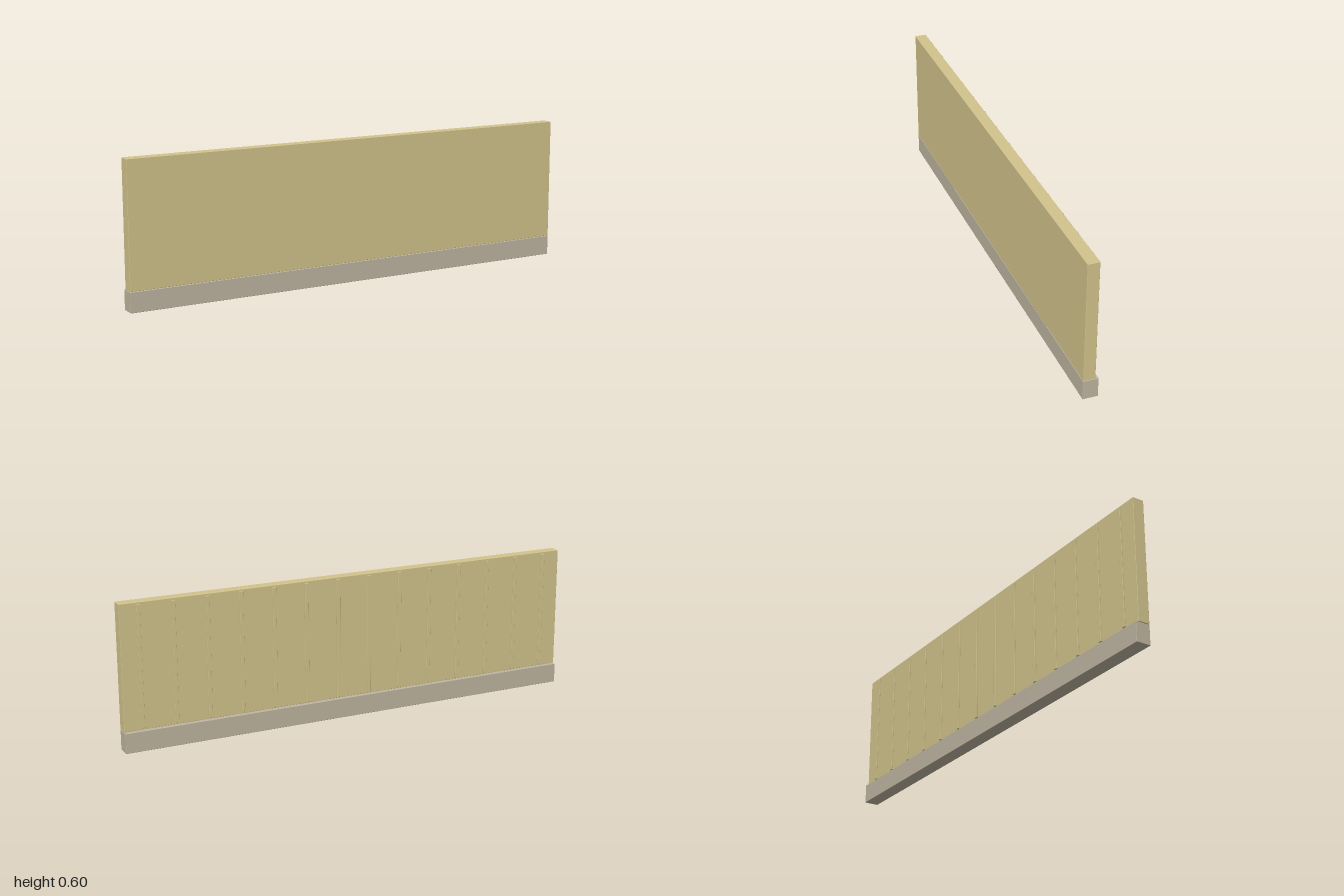
import * as THREE from 'three';
import { RoundedBoxGeometry } from 'three/addons/geometries/RoundedBoxGeometry.js';

const tan = new THREE.MeshStandardMaterial({ color: 0xd2c48c });
const stone = new THREE.MeshStandardMaterial({ color: 0xbfb5a0 });

// Softly edged block given by its limits on each axis
function block(name, [x0, x1], [y0, y1], [z0, z1], radius, material) {
  const geometry = new RoundedBoxGeometry(x1 - x0, y1 - y0, z1 - z0, 2, radius);
  const mesh = new THREE.Mesh(geometry, material);
  mesh.position.set((x0 + x1) / 2, (y0 + y1) / 2, (z0 + z1) / 2);
  mesh.name = name;
  return mesh;
}

export function createModel() {
  const model = new THREE.Group();
  model.name = 'wallPanel';

  // Plinth and the flat panel, flush at the front
  model.add(block('plinth', [-1, 1], [0, 0.083], [-0.031, 0.031], 0.0015, stone));
  model.add(block('panel', [-1, 1], [0.085, 0.6], [-0.018, 0.031], 0.0015, tan));

  // Thin upright battens on the back
  const battens = new THREE.Group();
  battens.name = 'battens';
  const count = 14, first = -0.919, spacing = 0.1418, half = 0.008;
  for (let i = 0; i < count; i++) {
    const x = first + i * spacing;
    battens.add(block('batten', [x - half, x + half], [0.092, 0.592], [-0.0245, -0.0175], 0.0012, tan));
  }
  model.add(battens);
  return model;
}
